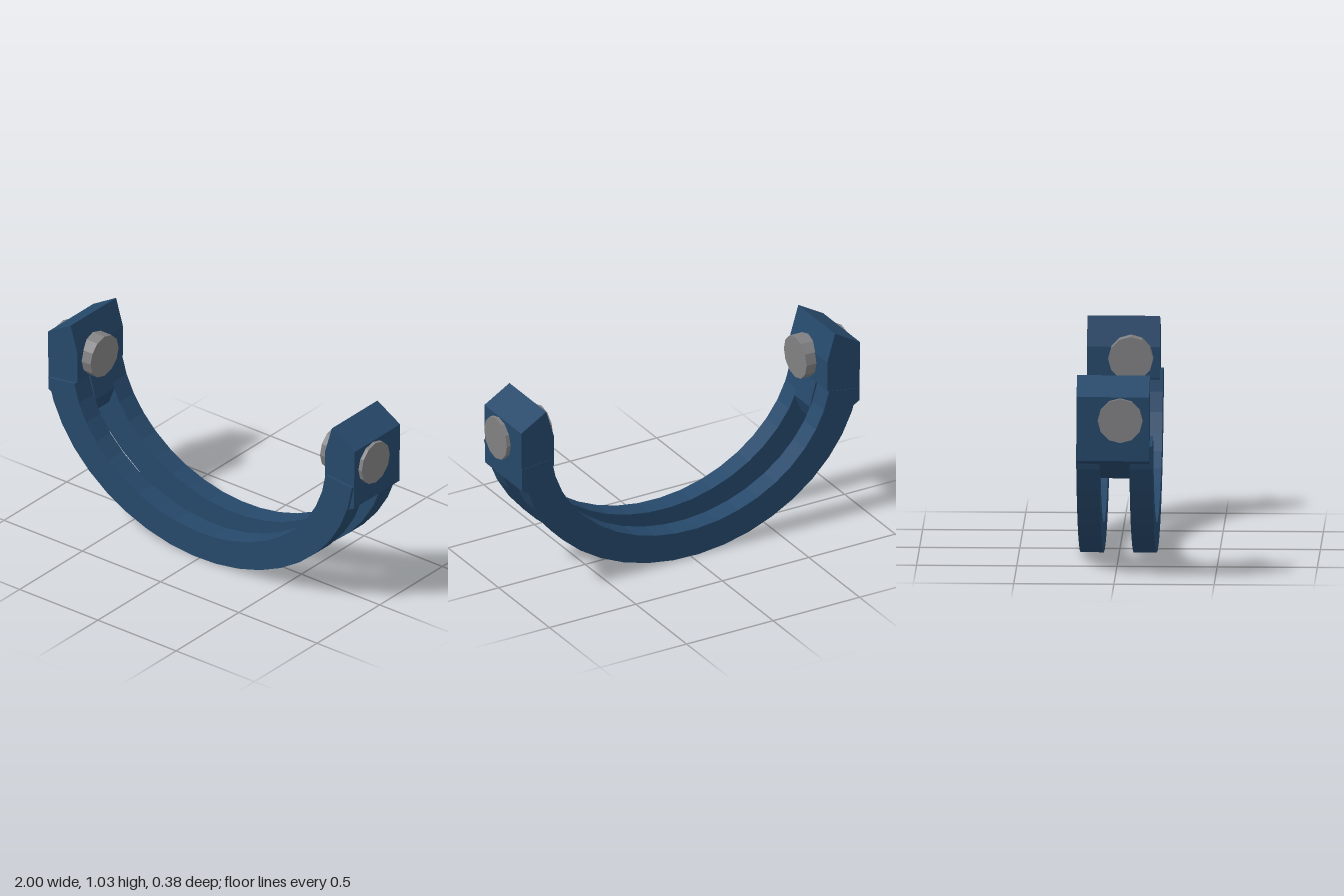
import * as THREE from 'three';

export function createModel() {
  const group = new THREE.Group();
  const blue = new THREE.MeshStandardMaterial({ color: 0x26486a });
  blue.name = 'navy blue';
  const grey = new THREE.MeshStandardMaterial({ color: 0x808082 });
  grey.name = 'bolt grey';

  const add = (name, geometry, material) => {
    const mesh = new THREE.Mesh(geometry, material);
    mesh.name = name;
    group.add(mesh);
    return mesh;
  };

  // Extrudes an x-y profile between two depths
  const slab = (points, z0, z1) => {
    const shape = new THREE.Shape(points.map(([x, y]) => new THREE.Vector2(x, y)));
    return new THREE.ExtrudeGeometry(shape, { depth: z1 - z0, bevelEnabled: false }).translate(0, 0, z0);
  };

  // Faceted half-oval band
  const steps = 19, start = -80.5, end = 83.9, centreY = 0.83;
  const arc = (a, b) => Array.from({ length: steps + 1 }, (_, i) => {
    const t = THREE.MathUtils.degToRad(start + (end - start) * i / steps);
    return [a * Math.sin(t), centreY - b * Math.cos(t)];
  });
  const band = [...arc(0.98, 0.83), ...arc(0.81, 0.683).reverse()];
  add('frontBand', slab(band, 0.075, 0.19), blue);
  add('backBand', slab(band, -0.19, -0.075), blue);

  // End blocks, wedge tabs between the bands, and bolts
  const block = [[0.98, 0.945], [0.835, 1.03], [0.79, 0.88], [0.79, 0.72], [0.94, 0.6], [0.975, 0.62]];
  const tab = [[0.8, 0.76], [0.95, 0.64], [0.94, 0.6], [0.79, 0.5], [0.755, 0.59]];
  for (const [side, s] of [['left', 1], ['right', -1]]) {
    const mirror = (points) => points.map(([x, y]) => [s * x, y]);
    add(side + 'EndBlock', slab(mirror(block), -0.188, 0.175), blue);
    add(side + 'Tab', slab(mirror(tab), -0.075, 0.075), blue);
    const bolt = new THREE.CylinderGeometry(0.112, 0.112, 0.267, 12).toNonIndexed();
    bolt.computeVertexNormals();
    bolt.rotateZ(Math.PI / 2).translate(s * 0.8665, 0.828, 0.031);
    add(side + 'Bolt', bolt, grey);
  }
  return group;
}
